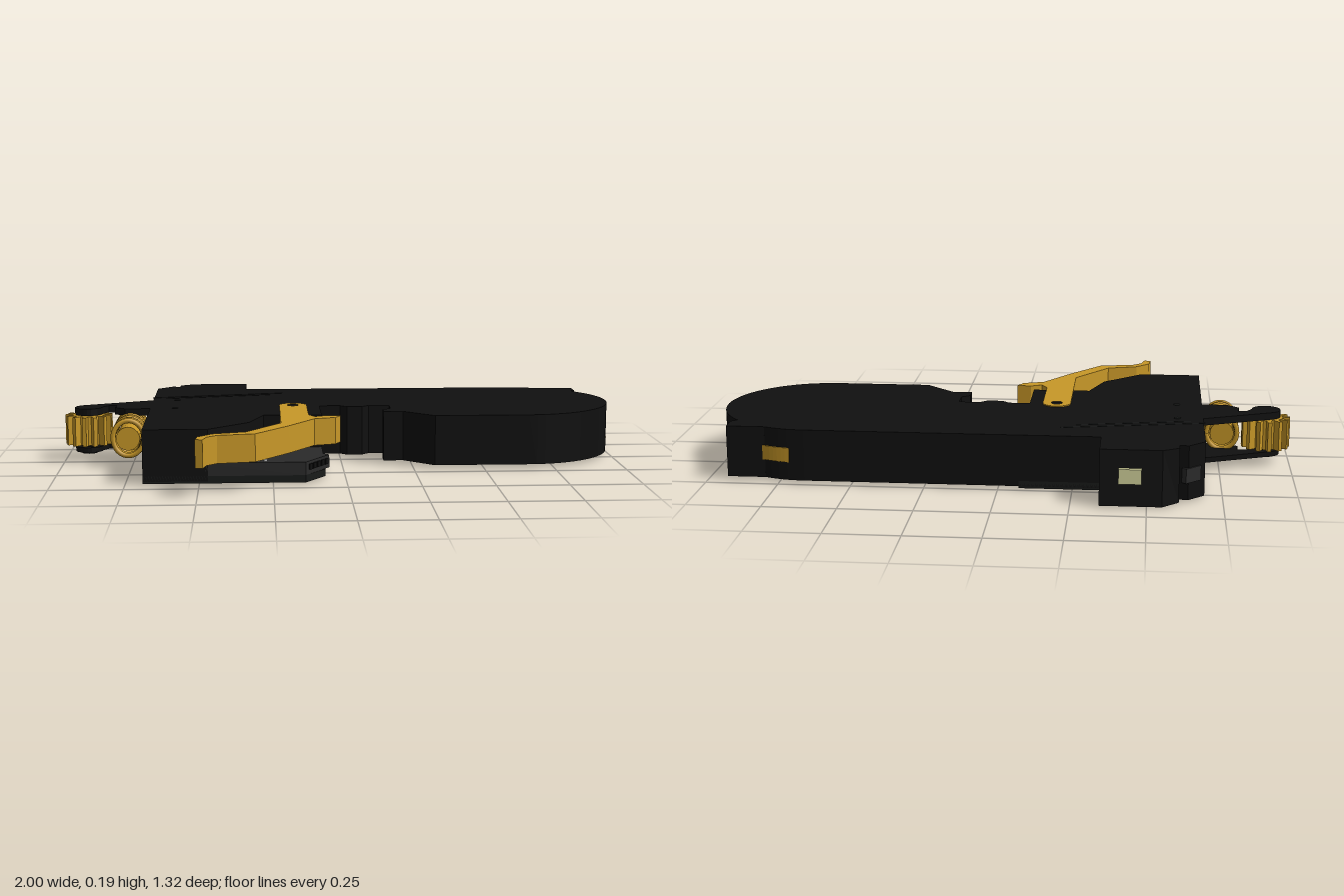
import * as THREE from 'three';

const mat = (color) => new THREE.MeshStandardMaterial({ color });
const black = mat(0x101010), charcoal = mat(0x2a2a2a), dark = mat(0x191b1a);
const gold = mat(0xc89828), cream = mat(0xd8d8a0), white = mat(0xf0f0f0);

// Points on a circular arc in plan, as [x, z]
function arc(cx, cz, r, a0, a1, n) {
  return Array.from({ length: n + 1 }, (_, i) => {
    const a = a0 + (a1 - a0) * i / n;
    return [cx + r * Math.cos(a), cz + r * Math.sin(a)];
  });
}

export function createModel() {
  const model = new THREE.Group();

  function add(name, geometry, material, x = 0, y = 0, z = 0) {
    const mesh = new THREE.Mesh(geometry, material);
    mesh.name = name;
    mesh.position.set(x, y, z);
    model.add(mesh);
    return mesh;
  }

  // Flat part with a plan outline, standing between two heights
  function plate(name, outline, y0, y1, material, holes = []) {
    const shape = new THREE.Shape(outline.map(([x, z]) => new THREE.Vector2(x, -z)));
    for (const [x, z, r] of holes) {
      shape.holes.push(new THREE.Path().absarc(x, -z, r, 0, Math.PI * 2, true));
    }
    const g = new THREE.ExtrudeGeometry(shape, { depth: y1 - y0, bevelEnabled: false, curveSegments: 16 });
    g.rotateX(-Math.PI / 2);
    return add(name, g, material, 0, y0, 0);
  }

  const box = (name, w, h, d, x, y, z, m) => add(name, new THREE.BoxGeometry(w, h, d), m, x, y, z);
  const post = (name, r, h, x, y, z, m) => add(name, new THREE.CylinderGeometry(r, r, h, 20), m, x, y, z);

  // Main housing with its rounded end
  plate('housing', [
    [-0.69, -0.49], [-0.69, 0.435], [-0.47, 0.435], [-0.33, 0.3], [-0.28, 0.15], [-0.075, 0.15],
    [-0.075, -0.055], [0, -0.055], [0.025, -0.03], [0.08, -0.03], [0.105, -0.055], [0.18, -0.055],
    [0.18, 0.015], [0.15, 0.04], [0.15, 0.09], [0.22, 0.09], [0.325, 0.19],
    ...arc(0.66, -0.15, 0.34, Math.PI / 2, -Math.PI / 2, 36),
  ], 0.012, 0.19, black);
  plate('endTab', [[0.8, -0.46], [0.8, -0.35], [0.91, -0.375], [0.932, -0.395], [0.932, -0.46]], 0.012, 0.19, black);

  // Rear hump, its upper rear edge chamfered
  const hump = plate('rearHump', [
    [-0.69, -0.48], [-0.345, -0.48], [-0.345, -0.66], [-0.55, -0.66], [-0.605, -0.605],
    [-0.605, -0.57], [-0.635, -0.575], [-0.69, -0.52],
  ], 0.005, 0.19, black);
  const p = hump.geometry.attributes.position;
  for (let i = 0; i < p.count; i++) {
    if (p.getZ(i) < -0.65 && p.getY(i) > 0.1) p.setZ(i, -0.638);
  }
  hump.geometry.computeVertexNormals();
  box('rearWindow', 0.075, 0.05, 0.03, -0.445, 0.105, -0.647, cream);
  box('rearSlot', 0.07, 0.05, 0.02, -0.645, 0.09, -0.558, charcoal).rotation.y = Math.PI / 4;

  // Base plate with screw heads
  plate('basePlate', [[-0.69, -0.49], [-0.69, 0.435], [-0.14, 0.435], [-0.07, 0.33], [-0.07, -0.49]], 0.005, 0.03, dark);
  for (const [x, z] of [[-0.6, 0.34], [-0.22, 0.34], [-0.6, 0.05], [-0.22, -0.05], [-0.45, -0.12],
    [-0.6, -0.2], [-0.22, -0.4], [-0.6, -0.4]]) {
    post('baseScrew', 0.03, 0.012, x, 0.006, z, black);
  }
  post('footPad', 0.04, 0.012, 0.87, 0.008, -0.15, black);

  // Low circuit board with pins and an angled connector
  plate('circuitBoard', [
    [-0.3, 0.14], [-0.075, 0.14], [-0.075, 0.28], [-0.055, 0.3], [-0.14, 0.435], [-0.48, 0.435], [-0.36, 0.28],
  ], 0.03, 0.075, charcoal);
  for (let i = 0; i < 6; i++) box('pin', 0.012, 0.008, 0.012, -0.405 + i * 0.026, 0.078, 0.412, white);
  const connector = new THREE.Group();
  connector.name = 'sideConnector';
  connector.position.set(-0.1, 0.05, 0.36);
  connector.rotation.y = Math.atan2(0.135, 0.085);
  for (let i = 0; i < 5; i++) {
    const port = new THREE.Mesh(new THREE.BoxGeometry(0.018, 0.02, 0.02), black);
    port.name = 'port';
    port.position.set(-0.054 + i * 0.027, 0.005, 0);
    connector.add(port);
  }
  model.add(connector);

  // Bent lever on its pivot
  plate('lever', [
    ...arc(-0.172, -0.055, 0.05, -Math.PI, 0, 16),
    [-0.122, 0.17], [-0.1, 0.21], [-0.06, 0.19], [-0.01, 0.195], [-0.03, 0.235], [-0.105, 0.26],
    [-0.195, 0.4], [-0.31, 0.555], [-0.435, 0.578], [-0.468, 0.61], [-0.48, 0.66], [-0.505, 0.652],
    [-0.498, 0.6], [-0.45, 0.547], [-0.34, 0.513], [-0.222, 0.34],
  ], 0.1, 0.194, gold, [[-0.172, -0.055, 0.02]]);
  post('leverPin', 0.02, 0.09, -0.172, 0.147, -0.055, black);

  // Upper and lower arms that carry the gear
  const arm = [
    [-0.68, -0.225], [-0.68, -0.02], [-0.78, -0.02], [-0.82, -0.055], [-0.815, -0.1], [-0.845, -0.1],
    ...arc(-0.915, -0.07, 0.05, 0, Math.PI * 1.36, 16),
  ];
  plate('upperArm', arm, 0.165, 0.19, black);
  plate('lowerArm', arm, 0.03, 0.048, black);
  post('gearAxle', 0.028, 0.15, -0.915, 0.097, -0.07, black);

  // Toothed gear
  const teeth = 13, gear = [];
  for (let i = 0; i < teeth; i++) {
    [[-0.3, 0.058], [-0.17, 0.085], [0.17, 0.085], [0.3, 0.058]].forEach(([t, r]) => {
      const a = (i + 0.5 + t) / teeth * Math.PI * 2;
      gear.push([-0.915 + r * Math.cos(a), -0.07 + r * Math.sin(a)]);
    });
  }
  plate('gear', gear, 0.057, 0.163, gold);

  // Worm: a thread wound round a core
  const turns = 8, coil = [];
  for (let i = 0; i <= turns * 14; i++) {
    const a = i / 14 * Math.PI * 2;
    coil.push(new THREE.Vector3(-0.76 + 0.054 * Math.cos(a), 0.106 + 0.062 * Math.sin(a), -0.1 + 0.23 * i / (turns * 14)));
  }
  add('wormThread', new THREE.TubeGeometry(new THREE.CatmullRomCurve3(coil), 240, 0.009, 6), gold);
  const core = add('wormCore', new THREE.CylinderGeometry(0.042, 0.042, 0.23, 20), gold, -0.76, 0.106, 0.015);
  core.rotation.x = Math.PI / 2;

  // Toothed wheel showing through the rounded end
  plate('endWheel', [
    ...arc(0.66, -0.15, 0.343, -0.72, 0.1, 16),
    ...arc(0.66, -0.15, 0.3, 0.1, -0.72, 16),
  ], 0.04, 0.056, gold);
  for (let i = 0; i < 9; i++) {
    const a = -0.68 + i * 0.093;
    box('wheelTooth', 0.01, 0.02, 0.014, 0.66 + 0.338 * Math.cos(a), 0.05, -0.15 + 0.338 * Math.sin(a), gold).rotation.y = -a;
  }
  plate('rearWheel', [
    ...arc(0.66, -0.15, 0.344, -1.42, -1.08, 8),
    ...arc(0.66, -0.15, 0.3, -1.08, -1.42, 8),
  ], 0.075, 0.125, gold);

  // Shallow seams and screws on top
  for (const [z, len] of [[-0.33, 0.5], [-0.3, 0.4]]) {
    box('topSeam', len, 0.002, 0.006, -0.45, 0.19, z, dark).rotation.y = 0.2;
  }
  for (const z of [-0.22, -0.03]) post('topScrew', 0.012, 0.003, -0.6, 0.19, z, dark);

  return model;
}
